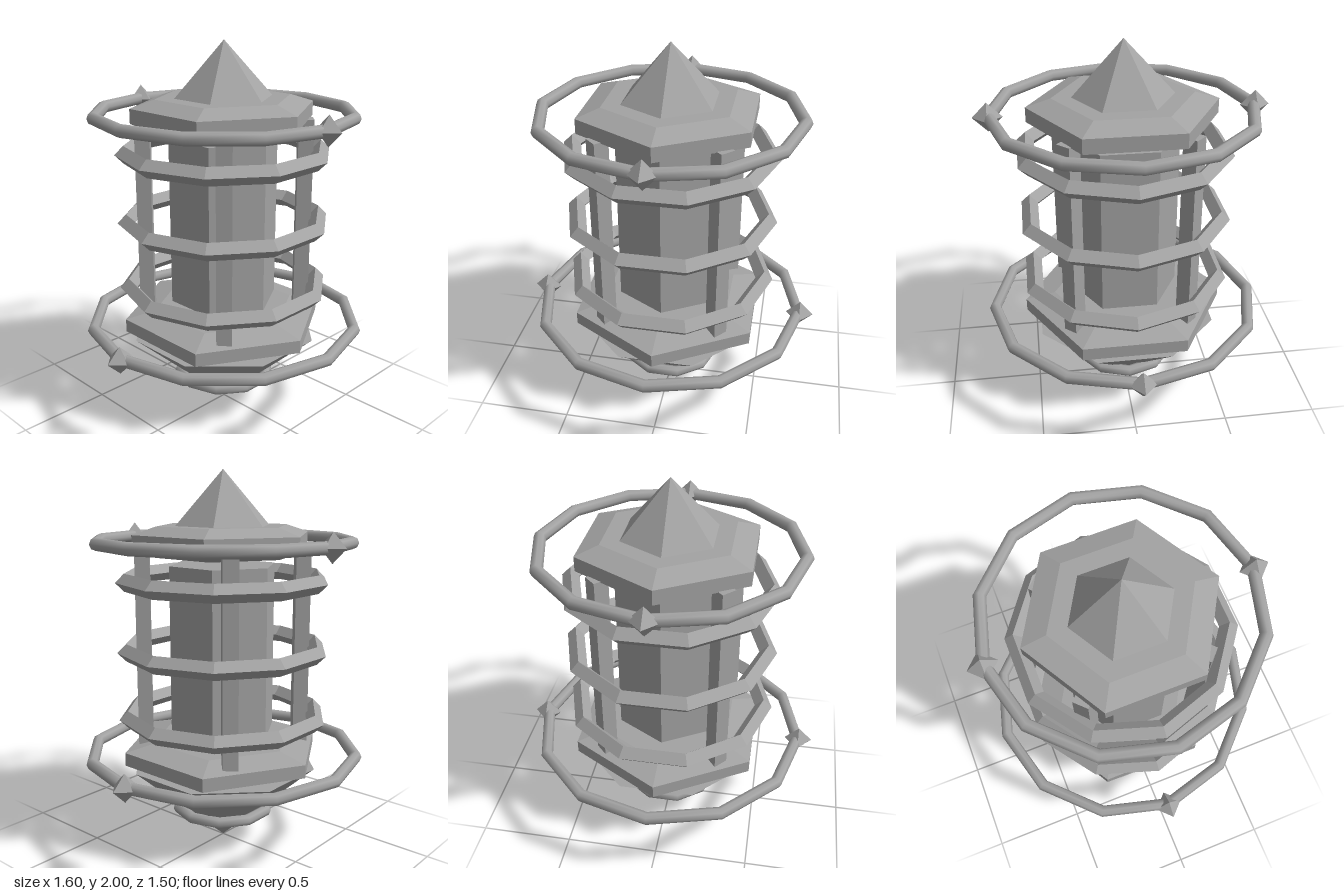
import * as THREE from 'three';

const grey = new THREE.MeshStandardMaterial({ color: 0xa3a3a3 });
grey.name = 'grey stone';
const flatGrey = grey.clone();
flatGrey.name = 'grey stone faceted';
flatGrey.flatShading = true;

export function createModel() {
  const model = new THREE.Group();
  model.name = 'cagedLantern';

  function add(name, geometry, x = 0, y = 0, z = 0, material = flatGrey) {
    const mesh = new THREE.Mesh(geometry, material);
    mesh.name = name;
    mesh.position.set(x, y, z);
    model.add(mesh);
    return mesh;
  }

  // Faceted solid of revolution, profile listed from bottom to top
  function facetedLathe(name, sides, profile, start = 0) {
    const points = profile.map(([r, y]) => new THREE.Vector2(r, y));
    return add(name, new THREE.LatheGeometry(points, sides, start));
  }

  // Horizontal polygonal ring
  function ring(name, y, radius, tube, tubeSides, sides, material) {
    const geometry = new THREE.TorusGeometry(radius, tube, tubeSides, sides).rotateX(Math.PI / 2);
    return add(name, geometry, 0, y, 0, material);
  }

  // Roof and spire
  facetedLathe('spire', 6, [[0.26, 1.715], [0, 2]]);
  facetedLathe('roof', 6, [[0, 1.565], [0.36, 1.565], [0.48, 1.605], [0.48, 1.68], [0.355, 1.72], [0, 1.72]]);

  // Floating hexagonal core
  facetedLathe('core', 6, [[0, 0.63], [0.29, 0.63], [0.29, 1.52], [0, 1.52]]);

  // Base plate and pointed underside
  facetedLathe('basePlate', 6, [[0, 0.44], [0.42, 0.44], [0.545, 0.48], [0.545, 0.55], [0.385, 0.585], [0, 0.585]]);
  facetedLathe('lowerCone', 8, [[0, 0], [0.508, 0.45], [0, 0.45]], Math.PI / 8);
  ring('coneBand', 0.185, 0.25, 0.03, 8, 10, grey);

  // Four diagonal pillars
  for (const sx of [-1, 1]) {
    for (const sz of [-1, 1]) {
      const pillar = add('pillar', new THREE.BoxGeometry(0.078, 1.09, 0.078), sx * 0.295, 1.065, sz * 0.295);
      pillar.rotation.y = Math.PI / 4;
    }
  }

  // Sharp-edged cage collars
  for (const y of [0.715, 1.077, 1.44]) ring('collar', y, 0.515, 0.046, 4, 10, flatGrey);

  // Outer rings, each with a pair of studs
  ring('upperRing', 1.64, 0.658, 0.032, 8, 12, grey);
  ring('lowerRing', 0.51, 0.718, 0.032, 8, 12, grey);
  for (const s of [-1, 1]) {
    add('upperStud', new THREE.OctahedronGeometry(0.074), 0, 1.64, s * 0.662);
    add('lowerStud', new THREE.OctahedronGeometry(0.074), s * 0.724, 0.51, 0);
  }

  return model;
}
